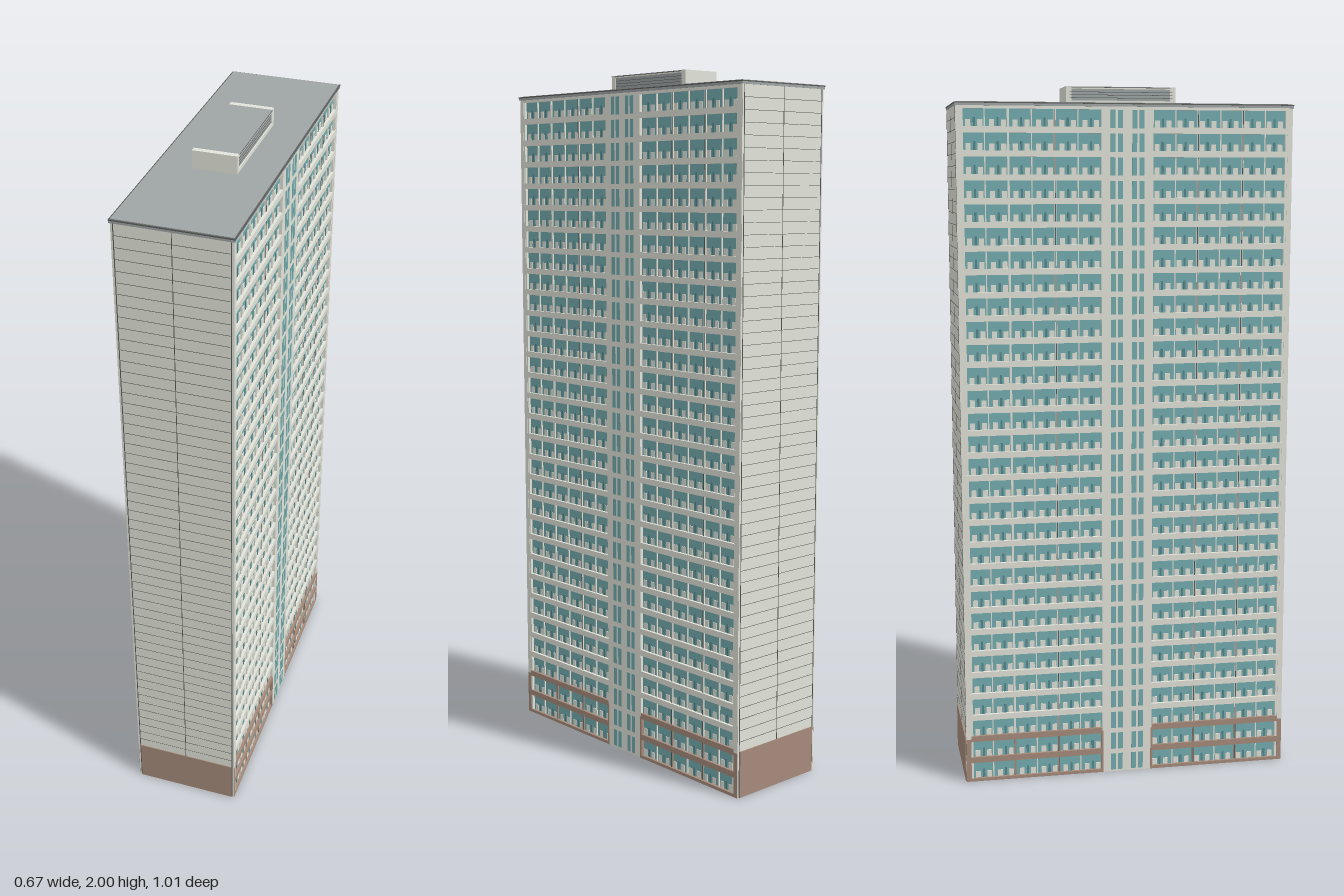
import * as THREE from 'three';
import { mergeGeometries } from 'three/addons/utils/BufferGeometryUtils.js';

const mat = (name, color) => {
  const m = new THREE.MeshStandardMaterial({ color });
  m.name = name;
  return m;
};

// Box from its lower to its upper bounds
function slab(x0, x1, y0, y1, z0, z1) {
  return new THREE.BoxGeometry(x1 - x0, y1 - y0, z1 - z0)
    .translate((x0 + x1) / 2, (y0 + y1) / 2, (z0 + z1) / 2);
}

export function createModel() {
  const wall = mat('pale concrete', 0xe2e3d9);
  const brown = mat('brown base', 0xa68b7b);
  const teal = mat('teal glass', 0x74adaf);
  const darkTeal = mat('dark teal glass', 0x56868b);
  const grey = mat('roof grey', 0x9fa5a5);
  const dark = mat('dark trim', 0x5c5e5b);

  const FLOORS = 30, H = 1.94, P = H / FLOORS;
  const GX = 0.147, WX = 0.156, HZ = 0.477;      // glass plane, wall plane, half length
  const B0 = 0.074, B1 = 0.463, BAYS = 6, BW = (B1 - B0) / BAYS;
  const BASE = 2 * P;                            // two storeys of brown base

  const model = new THREE.Group();
  model.name = 'towerBlock';
  const tower = new THREE.Group();
  tower.name = 'tower';
  tower.rotation.y = -0.396;
  model.add(tower);

  const add = (parent, name, geos, material) => {
    const mesh = new THREE.Mesh(mergeGeometries(geos), material);
    mesh.name = name;
    parent.add(mesh);
  };

  // Glazed body behind the facade grid
  add(tower, 'glazedBody', [slab(-GX, GX, 0.004, H, -HZ + 0.01, HZ - 0.01)], teal);
  add(tower, 'groundSlab', [slab(-WX + 0.001, WX - 0.001, 0, 0.006, -HZ, HZ)], wall);

  // One long facade; the other is the same turned half round
  function facade(name) {
    const g = new THREE.Group();
    g.name = name;
    const pale = [], base = [], doors = [], strips = [], joints = [];

    for (const s of [1, -1]) {
      const span = (a, b) => (s > 0 ? [a, b] : [-b, -a]);
      // Floor bands and window bays on each side of the core
      for (let f = 0; f <= FLOORS; f++) {
        const y = f * P;
        const band = f <= 2 ? base : pale;
        band.push(slab(GX - 0.005, WX, Math.max(0, y - 0.008), Math.min(H, y + 0.009), ...span(B0, B1)));
        if (f === FLOORS) break;
        for (let k = 0; k < BAYS; k++) {
          const z = B0 + k * BW;
          // Parapet panels and balcony door of a bay
          for (const p of [0.005, 0.038]) {
            pale.push(slab(GX - 0.005, GX + 0.0015, y + 0.009, y + 0.028, ...span(z + p, z + p + 0.014)));
          }
          doors.push(slab(GX - 0.005, GX + 0.001, y + 0.009, y + 0.034, ...span(z + 0.025, z + 0.031)));
        }
      }
      // Vertical fins between bays
      for (let k = 1; k < BAYS; k++) {
        const z = B0 + k * BW, w = k % 2 ? 0.0016 : 0.003;
        pale.push(slab(GX - 0.005, GX + 0.004, BASE, H, ...span(z - w, z + w)));
        (k % 2 ? pale : base).push(slab(GX - 0.005, GX + 0.004, 0, BASE, ...span(z - w, z + w)));
      }
      // Fine dark joints on some fins
      for (const k of s > 0 ? [2] : [2, 4]) {
        const z = B0 + k * BW;
        joints.push(slab(GX, GX + 0.0048, 0, H, ...span(z - 0.0012, z + 0.0012)));
      }
      // Corner pier
      pale.push(slab(GX - 0.005, WX, BASE, H, ...span(B1, HZ)));
      base.push(slab(GX - 0.005, WX, 0, BASE, ...span(B1, HZ)));
      // Brown edge next to the core
      base.push(slab(GX, WX + 0.001, 0, BASE, ...span(B0 - 0.003, B0 + 0.003)));
    }

    // Stair core with four columns of narrow windows
    pale.push(slab(GX - 0.005, WX, 0, H, -B0, B0));
    for (let f = 0; f < FLOORS; f++) {
      for (const z of [-0.041, -0.02, 0.02, 0.041]) {
        strips.push(slab(WX - 0.003, WX + 0.001, f * P + 0.006, f * P + 0.056, z - 0.007, z + 0.007));
      }
    }
    add(g, 'concreteGrid', pale, wall);
    add(g, 'brownGrid', base, brown);
    add(g, 'balconyDoors', doors, darkTeal);
    add(g, 'stairWindows', strips, teal);
    add(g, 'facadeJoints', joints, dark);
    return g;
  }
  const sideA = facade('leftFacade');
  const sideB = facade('rightFacade');
  sideB.rotation.y = Math.PI;
  tower.add(sideA, sideB);

  // Plain end walls with fine panel joints and a brown base
  for (const turn of [0, Math.PI]) {
    const g = new THREE.Group();
    g.name = turn ? 'backEnd' : 'frontEnd';
    g.rotation.y = turn;
    add(g, 'endWall', [slab(-WX + 0.001, WX - 0.001, 0, H, HZ - 0.02, HZ + 0.0005)], wall);
    add(g, 'endBase', [slab(-0.147, 0.147, 0, BASE + 0.004, HZ - 0.01, HZ + 0.003)], brown);
    const joints = [slab(-0.0009, 0.0009, BASE, H, HZ - 0.002, HZ + 0.0012)];
    for (let y = BASE + P / 2; y < H - 0.01; y += P / 2) {
      joints.push(slab(-0.147, 0.147, y - 0.0006, y + 0.0006, HZ - 0.002, HZ + 0.0012));
    }
    // Shadow gap beside each corner
    for (const s of [1, -1]) {
      joints.push(slab(s * 0.149 - 0.0012, s * 0.149 + 0.0012, 0, H, HZ - 0.002, HZ + 0.0012));
    }
    add(g, 'panelJoints', joints, dark);
    tower.add(g);
  }

  // Roof slab with a fine dark rim
  add(tower, 'roofSlab', [
    slab(-0.159, 0.159, H, 1.9465, -0.479, 0.479),
    slab(-0.156, 0.156, 1.946, 1.951, -0.476, 0.476),
  ], grey);
  add(tower, 'roofRim', [slab(-0.16, 0.16, 1.9465, 1.9495, -0.48, 0.48)], dark);

  // Rooftop plant room: pale end walls and frames, grey top and louvred sides
  const plant = new THREE.Group();
  plant.name = 'plantRoom';
  const R = 0.06, L = 0.158, frames = [], louvres = [];
  for (const s of [1, -1]) {
    const z = s * (L - 0.008), x = s * (R - 0.002);
    frames.push(slab(-R, R, 1.95, 2, z - 0.008, z + 0.008));
    frames.push(slab(x - 0.002, x + 0.002, 1.95, 1.961, -L + 0.01, L - 0.01));
    frames.push(slab(x - 0.002, x + 0.002, 1.993, 1.9965, -L + 0.01, L - 0.01));
    for (let i = 0; i < 3; i++) {
      const y = 1.968 + i * 0.008;
      louvres.push(slab(x - 0.004, x - 0.0005, y, y + 0.0012, -L + 0.01, L - 0.01));
    }
  }
  // Dark edge line under the plant roof
  louvres.push(slab(-R - 0.001, R + 0.001, 1.9965, 1.998, -L + 0.016, L - 0.016));
  add(plant, 'plantFrame', frames, wall);
  add(plant, 'plantBody', [
    slab(-R + 0.003, R - 0.003, 1.95, 1.997, -L + 0.01, L - 0.01),
    slab(-R, R, 1.998, 1.9995, -L + 0.01, L - 0.01),
  ], grey);
  add(plant, 'plantLouvres', louvres, dark);
  tower.add(plant);

  return model;
}
